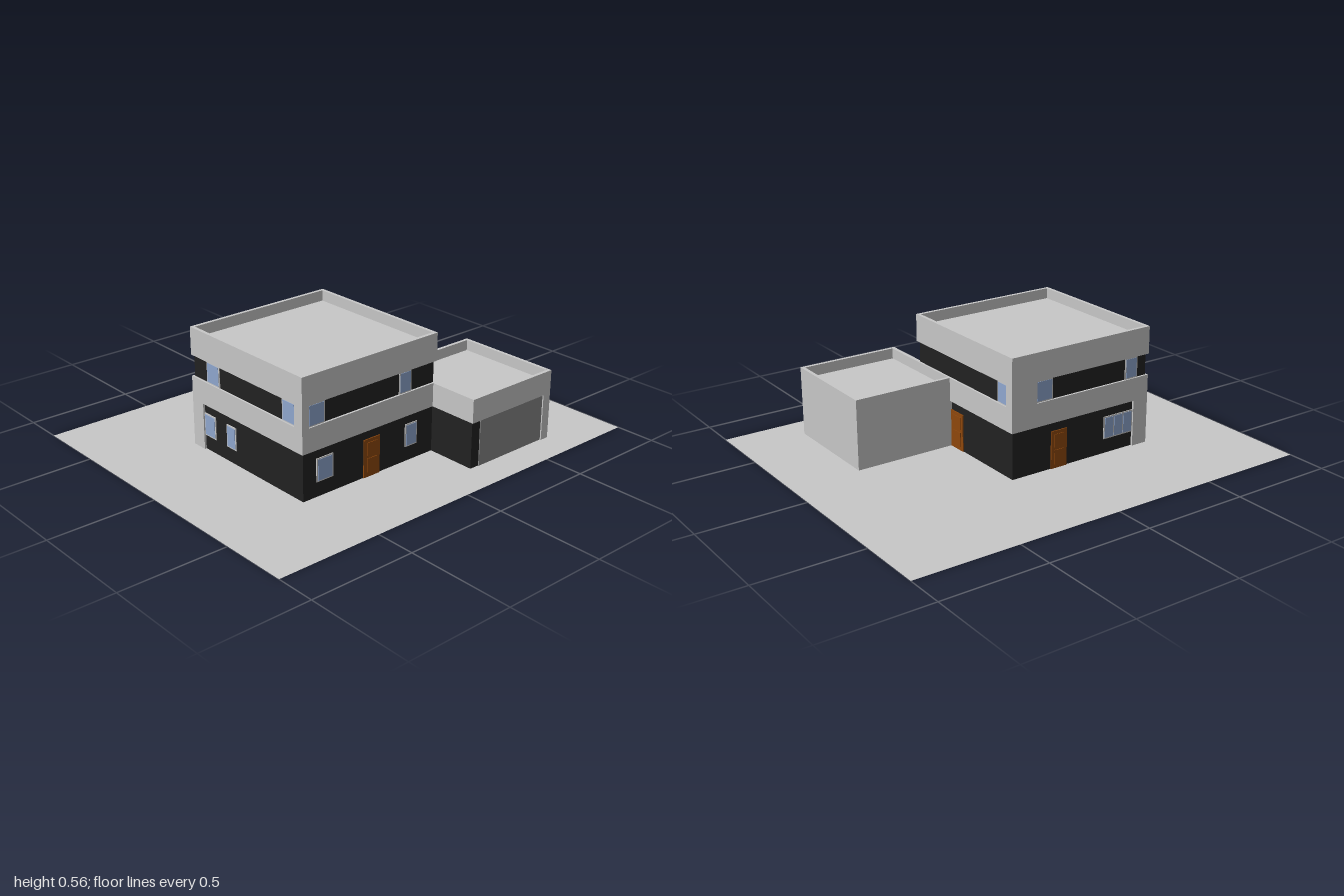
import * as THREE from 'three';

const mat = (name, color, side = THREE.FrontSide) => {
  const m = new THREE.MeshStandardMaterial({ color, side });
  m.name = name;
  return m;
};

export function createModel() {
  const house = new THREE.Group();
  house.name = 'house';
  const white = mat('pale render', 0xc8c8c8);
  const ground = mat('pale ground', 0xc8c8c8, THREE.DoubleSide);
  const dark = mat('dark cladding', 0x222222);
  const grey = mat('garage grey', 0x888888);
  const glass = mat('window blue', 0x90a8d0);
  const wood = mat('door wood', 0x8f480c);

  // Box given by its two extreme corners
  const box = (name, m, x0, x1, y0, y1, z0, z1, parent = house) => {
    const mesh = new THREE.Mesh(new THREE.BoxGeometry(x1 - x0, y1 - y0, z1 - z0), m);
    mesh.position.set((x0 + x1) / 2, (y0 + y1) / 2, (z0 + z1) / 2);
    mesh.name = name;
    parent.add(mesh);
    return mesh;
  };

  // Ground plate
  const plate = new THREE.Mesh(new THREE.PlaneGeometry(2, 1.63), ground);
  plate.rotation.x = -Math.PI / 2;
  plate.name = 'groundPlate';
  house.add(plate);

  // Dark storeys, set back behind the pale bands
  const X0 = -0.565, X1 = 0.19, Z0 = -0.325, Z1 = 0.43, IN = 0.01;
  box('claddingWalls', dark, X0 + IN, X1 - IN, 0.001, 0.45, Z0 + IN, Z1 - IN);
  box('floorBand', white, X0, X1, 0.22, 0.33, Z0, Z1);
  box('roofSlab', white, X0, X1, 0.43, 0.51, Z0, Z1);

  // Parapet around the main roof
  const outline = new THREE.Shape([[X0, Z0], [X1, Z0], [X1, Z1], [X0, Z1]].map(([x, z]) => new THREE.Vector2(x, -z)));
  const t = 0.016;
  outline.holes.push(new THREE.Path([[X0 + t, Z0 + t], [X0 + t, Z1 - t], [X1 - t, Z1 - t], [X1 - t, Z0 + t]]
    .map(([x, z]) => new THREE.Vector2(x, -z))));
  const parapet = new THREE.Mesh(new THREE.ExtrudeGeometry(outline, { depth: 0.05, bevelEnabled: false }), white);
  parapet.rotation.x = -Math.PI / 2;
  parapet.position.y = 0.51;
  parapet.name = 'roofParapet';
  house.add(parapet);

  // Pale corners closing the upper window bands, and the ground floor corner pillar
  box('frontCorner', white, X0, -0.53, 0.33, 0.43, 0.38, Z1);
  box('backCorner', white, 0.06, X1, 0.33, 0.43, Z0, -0.282);
  box('cornerPillar', white, X0, -0.485, 0.001, 0.22, Z0, -0.25);

  // Garage
  const GX = 0.67, GZ0 = 0.155, GZ1 = 0.67;
  box('garageWalls', dark, X1 - IN, 0.64, 0.001, 0.22, GZ0 + 0.01, GZ1 - IN);
  box('garageSideWall', white, 0.627, GX, 0.001, 0.22, GZ0, GZ1);
  box('garageBackWall', white, X1 - IN, 0.627, 0.001, 0.22, GZ0, GZ0 + t);
  box('garageRoof', white, 0.172, GX, 0.22, 0.28, GZ0, GZ1);
  box('garageParapetLeft', white, 0.172, X1, 0.28, 0.33, Z1, GZ1 - t);
  box('garageParapetRight', white, GX - t, GX, 0.28, 0.33, GZ0 + t, GZ1 - t);
  box('garageParapetBack', white, X1, GX, 0.28, 0.33, GZ0, GZ0 + t);
  box('garageParapetFront', white, 0.172, GX, 0.28, 0.33, GZ1 - t, GZ1);
  box('garageDoor', grey, 0.228, 0.627, 0.001, 0.219, GZ1 - IN, GZ1 - 0.006);

  // Each wall is a group whose local +z points out; u runs along world x or z
  const walls = {};
  const addWall = (name, ry, x, z) => {
    const g = new THREE.Group();
    g.name = name;
    g.rotation.y = ry;
    g.position.set(x, 0, z);
    house.add(g);
    walls[name] = g;
  };
  addWall('frontWall', 0, 0, Z1 - IN);
  addWall('backWall', Math.PI, 0, Z0 + IN);
  addWall('rightWall', Math.PI / 2, X1 - IN, 0);
  addWall('leftWall', -Math.PI / 2, X0 + IN, 0);
  const local = (wall, a, b) => (wall === 'frontWall' || wall === 'leftWall' ? [a, b] : [-b, -a]);

  // Window: pale frame plate with glass panes in front of it
  const windowAt = (wall, a, b, y0, y1, panes = 1) => {
    const [u0, u1] = local(wall, a, b), f = 0.006;
    const g = new THREE.Group();
    g.name = 'window';
    walls[wall].add(g);
    box('windowFrame', white, u0, u1, y0, y1, -0.002, 0.004, g);
    const w = (u1 - u0 - f) / panes;
    for (let i = 0; i < panes; i++) {
      box('windowPane', glass, u0 + f + i * w, u0 + (i + 1) * w, y0 + f, y1 - f, 0, 0.006, g);
    }
  };

  // Door with two raised panels
  const doorAt = (wall, a, b) => {
    const [u0, u1] = local(wall, a, b), m = 0.016;
    const g = new THREE.Group();
    g.name = 'door';
    walls[wall].add(g);
    box('doorLeaf', wood, u0, u1, 0.001, 0.178, -0.002, 0.005, g);
    for (const [y0, y1] of [[0.02, 0.088], [0.102, 0.162]]) {
      box('doorPanel', wood, u0 + m, u1 - m, y0, y1, 0, 0.008, g);
    }
  };

  // Upper windows
  const upper = [
    ['frontWall', -0.53, -0.44], ['frontWall', -0.025, 0.045],
    ['rightWall', -0.282, -0.21],
    ['backWall', -0.03, 0.06], ['backWall', -0.505, -0.435],
    ['leftWall', -0.22, -0.13], ['leftWall', 0.295, 0.38],
  ];
  for (const [wall, a, b] of upper) windowAt(wall, a, b, 0.33, 0.43);

  // Ground floor windows
  const lower = [
    ['frontWall', -0.485, -0.395], ['frontWall', 0.015, 0.085],
    ['backWall', -0.485, -0.32, 3],
    ['leftWall', -0.25, -0.17], ['leftWall', -0.09, -0.025],
  ];
  for (const [wall, a, b, panes] of lower) windowAt(wall, a, b, 0.07, 0.177, panes);

  // Doors
  doorAt('frontWall', -0.225, -0.135);
  doorAt('rightWall', 0.062, 0.155);
  doorAt('backWall', -0.11, -0.025);

  return house;
}
